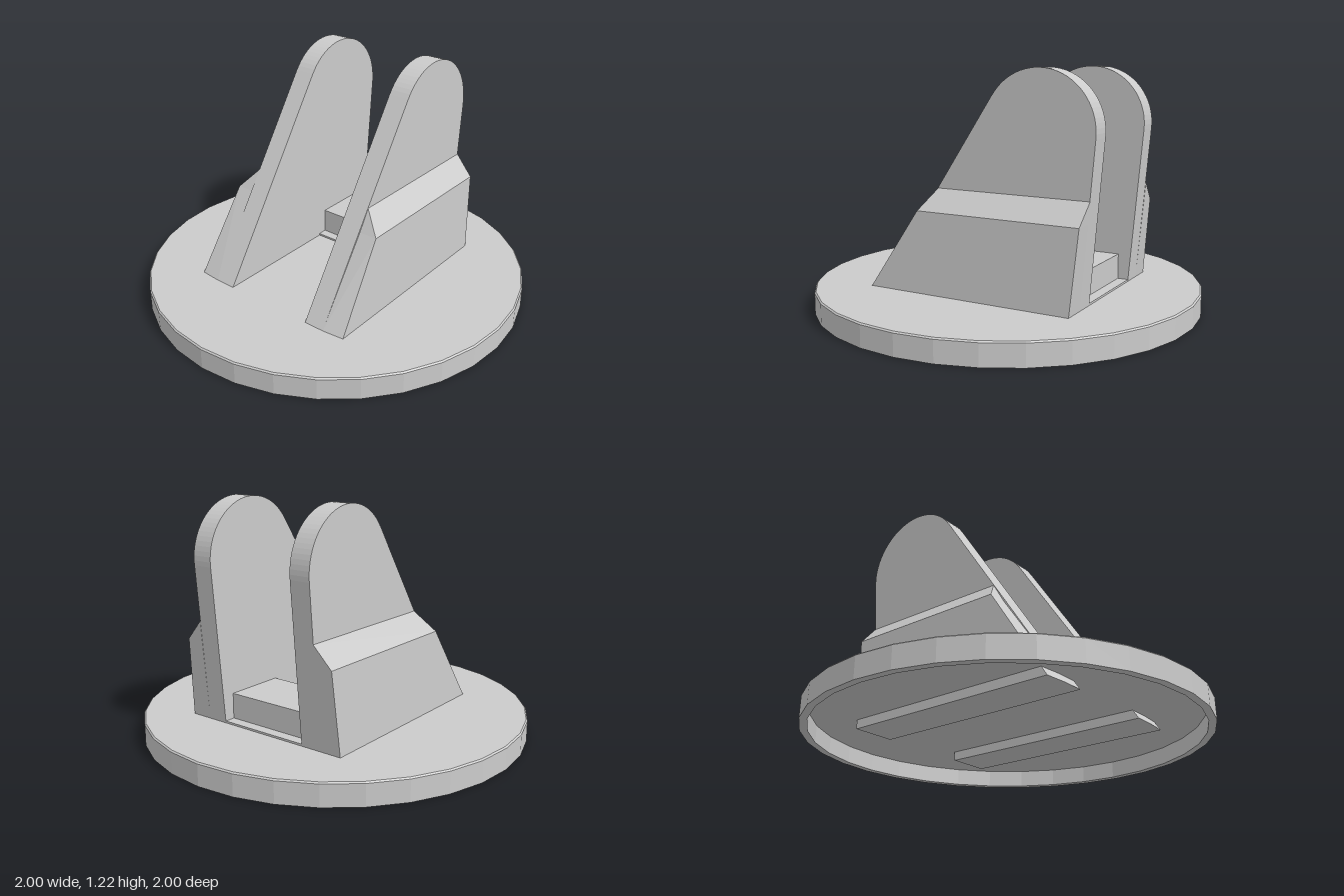
import * as THREE from 'three';

const material = new THREE.MeshStandardMaterial({ color: 0xcccccc, flatShading: true });

function add(parent, name, geometry) {
  const mesh = new THREE.Mesh(geometry, material);
  mesh.name = name;
  parent.add(mesh);
  return mesh;
}

// Round base, hollowed underneath behind a narrow rim
function baseGeometry() {
  const profile = [[0, 0.087], [0.962, 0.087], [0.962, 0], [1, 0], [1, 0.108], [0.993, 0.115], [0, 0.115]];
  return new THREE.LatheGeometry(profile.map(([r, y]) => new THREE.Vector2(r, y)), 32);
}

// Upright plate: sloping front, round top, nearly vertical back (shape x is model z)
function plateGeometry() {
  const shape = new THREE.Shape();
  shape.moveTo(-0.57, 0.04);
  shape.lineTo(0.595, 0.04);
  shape.lineTo(-0.113, 1.096);
  shape.absarc(-0.355, 0.935, 0.29, 0.587, Math.PI + 0.09, false);
  shape.lineTo(-0.575, 0.115);
  shape.closePath();
  return new THREE.ExtrudeGeometry(shape, { depth: 0.11, bevelEnabled: false, curveSegments: 16 });
}

// Thickened foot outside the plate, lofted through rows of [y, outer x, front z, back z]
function footGeometry(side) {
  const rows = [
    [0.04, 0.473, 0.585, -0.57],
    [0.115, 0.47, 0.535, -0.575],
    [0.525, 0.45, 0.26, -0.612],
    [0.63, 0.355, 0.197, -0.621],
  ];
  const inner = 0.355;
  const positions = [];
  const index = [];
  const quad = (a, b, c, d) => (side > 0 ? index.push(a, b, c, a, c, d) : index.push(a, c, b, a, d, c));
  rows.forEach(([y, outer, front, back], i) => {
    // The front edge leans back slightly towards the outside at the base
    const innerFront = i < 2 ? front + 0.01 : front;
    for (const [x, z] of [[inner, innerFront], [outer, front], [outer, back], [inner, back]]) {
      positions.push(side * x, y, z);
    }
    if (i === 0) return;
    for (let k = 0; k < 4; k++) {
      const n = (k + 1) % 4;
      quad((i - 1) * 4 + k, (i - 1) * 4 + n, i * 4 + n, i * 4 + k);
    }
  });
  quad(3, 2, 1, 0);
  const geometry = new THREE.BufferGeometry();
  geometry.setAttribute('position', new THREE.Float32BufferAttribute(positions, 3));
  geometry.setIndex(index);
  const flat = geometry.toNonIndexed();
  flat.computeVertexNormals();
  return flat;
}

export function createModel() {
  const model = new THREE.Group();
  model.name = 'clevisMount';
  add(model, 'base', baseGeometry());

  // Pair of mirrored arms
  for (const side of [1, -1]) {
    const arm = new THREE.Group();
    arm.name = side > 0 ? 'leftArm' : 'rightArm';
    const plate = add(arm, 'plate', plateGeometry());
    plate.rotation.y = -Math.PI / 2;
    plate.position.x = side > 0 ? 0.355 : -0.245;
    add(arm, 'foot', footGeometry(side));
    model.add(arm);
  }

  // Block between the arms, on a thin pad
  add(model, 'pad', new THREE.BoxGeometry(0.49, 0.02, 0.42)).position.set(0, 0.115, -0.365);
  add(model, 'crossBlock', new THREE.BoxGeometry(0.49, 0.145, 0.315)).position.set(0, 0.1825, -0.3625);
  return model;
}
